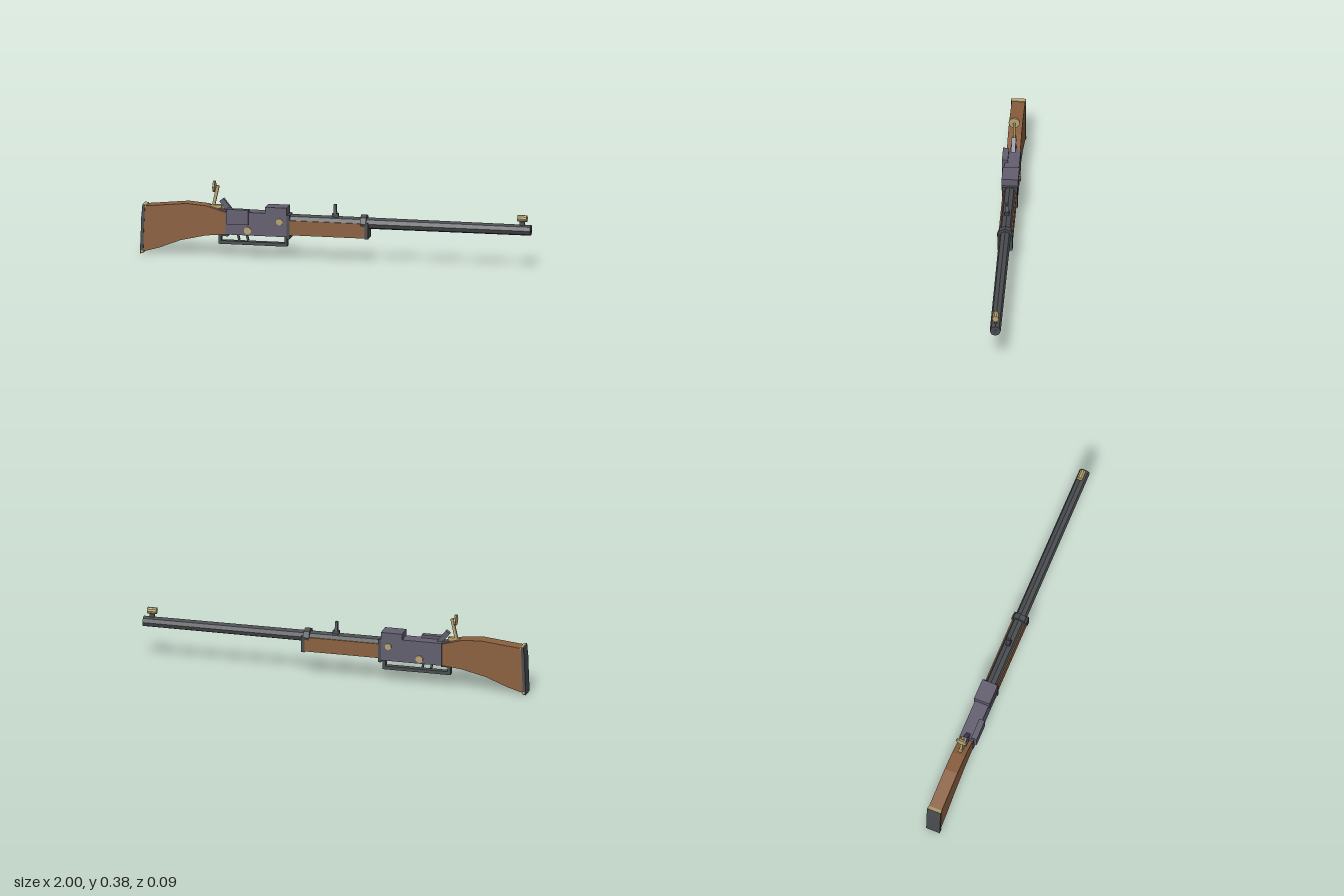
import * as THREE from 'three';

const mat = (color) => new THREE.MeshStandardMaterial({ color, flatShading: true });

export function createModel() {
  const wood = mat(0x8b6040), steel = mat(0x4a4d50), iron = mat(0x635f70), brass = mat(0xb8a472);
  const model = new THREE.Group();
  model.name = 'rifle';
  const Z = -0.004; // centre plane of the gun

  const add = (name, geometry, material, x, y, z = 0, tilt = 0) => {
    const mesh = new THREE.Mesh(geometry, material);
    mesh.name = name;
    mesh.position.set(x, y, Z + z);
    mesh.rotation.z = tilt;
    model.add(mesh);
    return mesh;
  };
  // Box given by its extents in x and y, centred across the gun
  const block = (name, material, x0, x1, y0, y1, width, z = 0) =>
    add(name, new THREE.BoxGeometry(x1 - x0, y1 - y0, width), material, (x0 + x1) / 2, (y0 + y1) / 2, z);
  // Side profile extruded across the gun
  const slab = (name, material, points, width) => {
    const shape = new THREE.Shape(points.map(([x, y]) => new THREE.Vector2(x, y)));
    const geometry = new THREE.ExtrudeGeometry(shape, { depth: width, bevelEnabled: false });
    return add(name, geometry.translate(0, 0, -width / 2), material, 0, 0);
  };
  // Cylinder lying along x
  const rod = (name, material, x0, x1, y, r0, r1, sides) => {
    const geometry = new THREE.CylinderGeometry(r1, r0, x1 - x0, sides).rotateZ(-Math.PI / 2);
    return add(name, geometry, material, (x0 + x1) / 2, y);
  };

  // Shoulder stock
  slab('stock', wood, [
    [-0.985, 0.012], [-0.9, 0.037], [-0.79, 0.08], [-0.66, 0.11], [-0.555, 0.12],
    [-0.555, 0.232], [-0.66, 0.262], [-0.76, 0.27], [-0.975, 0.248],
  ], 0.068);

  // Concave butt plate with brass toe and heel
  slab('buttPlate', steel, [
    [-0.998, 0.003], [-0.982, 0.006], [-0.978, 0.13], [-0.972, 0.252],
    [-0.985, 0.254], [-0.991, 0.19], [-0.994, 0.1],
  ], 0.074);
  slab('buttHeel', brass, [[-0.984, 0.244], [-0.966, 0.242], [-0.966, 0.252], [-0.984, 0.256]], 0.07);
  block('buttToe', brass, -0.992, -0.978, 0.009, 0.02, 0.076);

  // Receiver
  block('receiver', iron, -0.56, -0.245, 0.12, 0.238, 0.074);
  block('breechBlock', iron, -0.355, -0.245, 0.215, 0.27, 0.084);
  block('sideHousing', iron, -0.55, -0.44, 0.176, 0.253, 0.03, 0.037);
  slab('receiverTang', iron, [[-0.6, 0.235], [-0.55, 0.22], [-0.55, 0.24], [-0.6, 0.25]], 0.03);
  block('receiverFront', steel, -0.245, -0.23, 0.11, 0.232, 0.08);
  add('hammer', new THREE.BoxGeometry(0.075, 0.026, 0.022), iron, -0.562, 0.262, 0, -0.9);

  // Receiver screws on both sides
  for (const [x, y, r] of [[-0.445, 0.145, 0.019], [-0.282, 0.197, 0.017]])
    for (const side of [-1, 1]) {
      const geometry = new THREE.CylinderGeometry(r, r, 0.01, 10).rotateX(Math.PI / 2);
      add('receiverScrew', geometry, brass, x, y, side * 0.038);
    }

  // Lever loop and triggers
  block('leverBar', steel, -0.6, -0.247, 0.066, 0.083, 0.03);
  block('leverRear', steel, -0.6, -0.586, 0.08, 0.118, 0.03);
  block('leverFront', steel, -0.262, -0.247, 0.08, 0.122, 0.03);
  block('leverRearTop', steel, -0.6, -0.55, 0.106, 0.12, 0.03);
  for (const x of [-0.5, -0.455])
    add('trigger', new THREE.BoxGeometry(0.01, 0.04, 0.012), steel, x, 0.107, 0, 0.25);

  // Barrel, forestock and band
  rod('barrel', steel, -0.245, 1, 0.203, 0.03, 0.0275, 8);
  rod('muzzleBore', mat(0x3f4144), 0.99, 1.0005, 0.203, 0.01, 0.01, 8);
  block('forestock', wood, -0.232, 0.156, 0.13, 0.205, 0.07);
  block('forestockCap', steel, 0.153, 0.171, 0.126, 0.21, 0.076);
  rod('barrelBand', steel, 0.13, 0.16, 0.205, 0.041, 0.041, 8);

  // Rear barrel sight: foot and notched leaf
  block('rearSightFoot', steel, -0.018, 0.014, 0.225, 0.245, 0.022);
  slab('rearSightBase', iron, [[-0.01, 0.24], [0.006, 0.24], [0.002, 0.275], [-0.01, 0.275]], 0.02);
  for (const side of [-1, 1])
    block('rearSightProng', iron, -0.01, 0.002, 0.27, 0.292, 0.007, side * 0.0065);

  // Front sight
  block('frontSightPost', steel, 0.943, 0.968, 0.222, 0.255, 0.012);
  rod('frontSightTube', brass, 0.932, 0.98, 0.262, 0.017, 0.017, 10);

  // Folding tang sight
  block('tangSightFoot', brass, -0.645, -0.585, 0.245, 0.264, 0.02);
  add('tangSightStem', new THREE.BoxGeometry(0.015, 0.115, 0.013), brass, -0.617, 0.306, 0, -0.22);
  rod('tangSightDisc', brass, -0.629, -0.619, 0.357, 0.0285, 0.0285, 10);

  return model;
}
